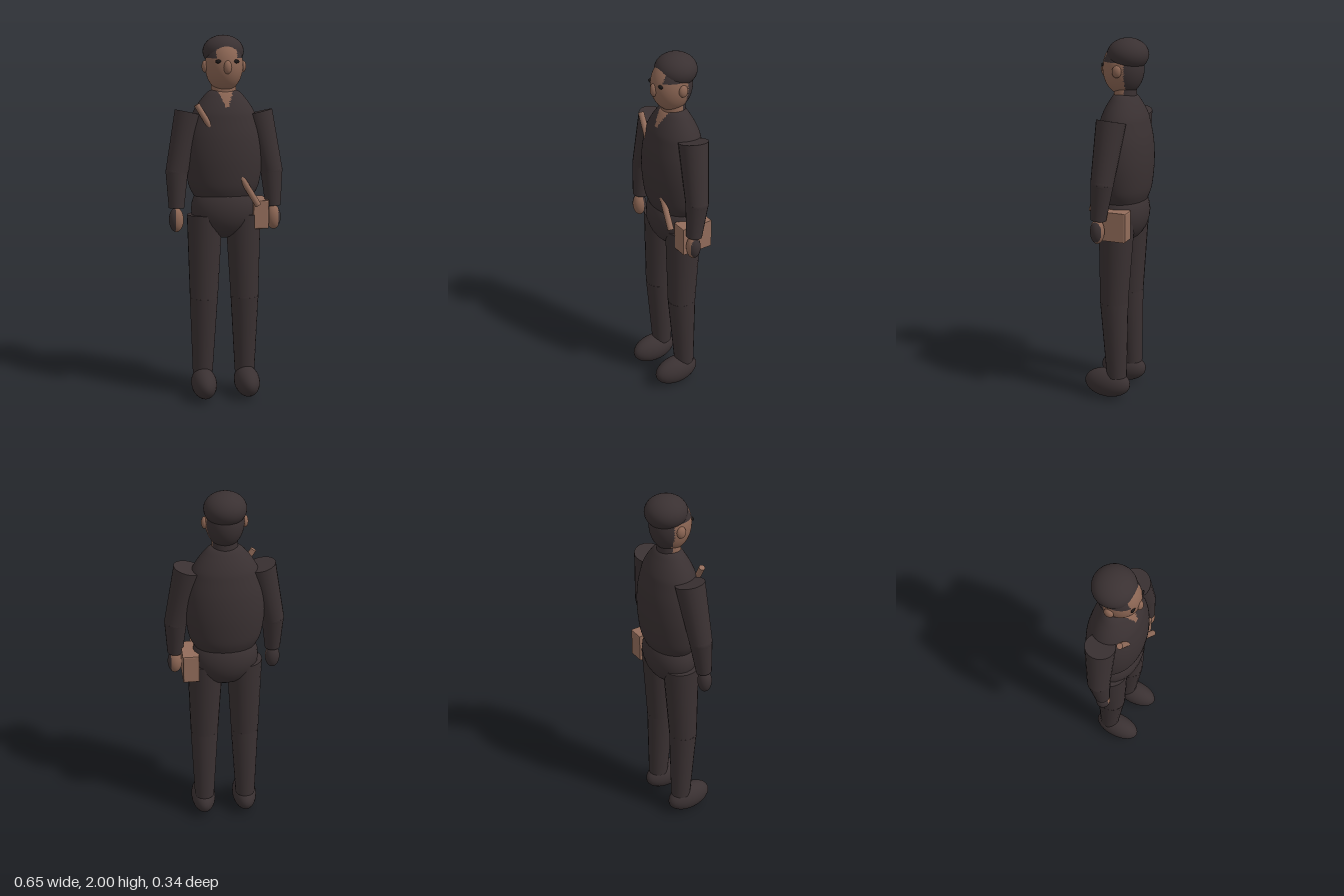
import * as THREE from 'three';

const mat = (name, color) => {
  const m = new THREE.MeshStandardMaterial({ color });
  m.name = name;
  return m;
};

export function createModel() {
  const group = new THREE.Group();
  const cloth = mat('dark cloth', 0x3a3132);
  const skin = mat('skin', 0x8c6654);
  const leather = mat('brown leather', 0x936d5b);
  const black = mat('eye black', 0x1c1818);

  const add = (name, geo, material) => {
    const m = new THREE.Mesh(geo, material);
    m.name = name;
    group.add(m);
    return m;
  };

  // Ellipsoid with centre and radii baked in
  const ball = (c, r, w = 24, h = 16) =>
    new THREE.SphereGeometry(1, w, h).scale(...r).translate(...c);

  // Splits the faces in two material groups by a test on the face centre
  const twoTone = (geo, test) => {
    const p = geo.attributes.position, ix = geo.index.array, sets = [[], []];
    const c = new THREE.Vector3(), v = new THREE.Vector3();
    for (let i = 0; i < ix.length; i += 3) {
      c.set(0, 0, 0);
      for (let k = 0; k < 3; k++) c.add(v.fromBufferAttribute(p, ix[i + k]));
      c.divideScalar(3);
      sets[test(c) ? 1 : 0].push(ix[i], ix[i + 1], ix[i + 2]);
    }
    geo.setIndex([...sets[0], ...sets[1]]);
    geo.clearGroups();
    geo.addGroup(0, sets[0].length, 0);
    geo.addGroup(sets[0].length, sets[1].length, 1);
    return geo;
  };

  // Tapered cylinder from point a to point b
  const limb = (name, a, b, ra, rb, material, sides = 20) => {
    const A = new THREE.Vector3(...a), B = new THREE.Vector3(...b);
    const dir = B.clone().sub(A);
    const geo = new THREE.CylinderGeometry(rb, ra, dir.length(), sides);
    const m = add(name, geo, material);
    m.position.copy(A).add(B).multiplyScalar(0.5);
    m.quaternion.setFromUnitVectors(new THREE.Vector3(0, 1, 0), dir.normalize());
  };

  // Torso: barrel-shaped lathe, flattened front to back, with an open collar
  const profile = new THREE.SplineCurve([
    [0.165, 1.135], [0.195, 1.2], [0.212, 1.33], [0.206, 1.45], [0.182, 1.55],
    [0.163, 1.6], [0.122, 1.66], [0.075, 1.705], [0.001, 1.72],
  ].map(([x, y]) => new THREE.Vector2(x, y))).getPoints(48);
  const torso = new THREE.LatheGeometry(profile, 72).scale(1, 1, 0.705).translate(0, 0, -0.022);
  add('torso', twoTone(torso, c =>
    c.z > 0 && c.y > 1.62 && Math.abs(c.x) < 0.008 + (c.y - 1.62) * 0.4), [cloth, skin]);
  add('pelvis', ball([0, 1.065, -0.02], [0.182, 0.167, 0.132]), cloth);

  // Neck
  const neck = new THREE.CylinderGeometry(0.066, 0.07, 0.12, 32).scale(1, 1, 0.88).translate(0, 1.72, -0.022);
  add('neck', twoTone(neck, c => c.z > -0.04), [cloth, skin]);

  // Head: skin in front, dark hair behind and at the temples
  const head = ball([0, 1.84, -0.012], [0.102, 0.142, 0.112], 64, 48);
  add('head', twoTone(head, c =>
    c.z > -0.048 && !(c.y > 1.875 && Math.abs(c.x) > 0.056)), [cloth, skin]);
  add('cap', ball([0, 1.913, -0.037], [0.111, 0.087, 0.111], 32, 20), cloth);
  add('nose', ball([0, 1.83, 0.095], [0.022, 0.036, 0.02], 16, 12), skin);

  for (const s of [1, -1]) {
    const side = s > 0 ? 'left' : 'right';
    // Face details
    add(side + 'Ear', ball([s * 0.104, 1.833, -0.015], [0.017, 0.032, 0.026], 16, 12), skin);
    add(side + 'Eye', ball([s * 0.046, 1.86, 0.085], [0.019, 0.01, 0.008], 16, 8), black);

    // Arm
    const elbow = [s * 0.262, 1.27, 0.002];
    limb(side + 'UpperArm', [s * 0.19, 1.587, -0.02], elbow, 0.079, 0.061, cloth);
    add(side + 'Elbow', ball(elbow, [0.061, 0.061, 0.061]), cloth);
    limb(side + 'Forearm', elbow, [s * 0.268, 1.075, 0.022], 0.061, 0.042, cloth);
    const gloveEdge = s > 0 ? 0.022 : 0.006;
    const hand = ball([s * 0.27, 1.012, 0.027], [0.04, 0.067, 0.038], 32, 20);
    add(side + 'Hand', twoTone(hand, c =>
      s * c.x - 0.27 < gloveEdge && (s > 0 || c.z > 0.02)), [cloth, skin]);

    // Leg
    const knee = [s * 0.115, 0.57, -0.004];
    limb(side + 'Thigh', [s * 0.107, 1.03, -0.016], knee, 0.098, 0.078, cloth);
    add(side + 'Knee', ball(knee, [0.077, 0.077, 0.077]), cloth);
    limb(side + 'Shin', knee, [s * 0.12, 0.13, -0.021], 0.078, 0.056, cloth);
    add(side + 'Shoe', ball([s * 0.122, 0.083, 0.035], [0.07, 0.083, 0.135]), cloth);
  }

  // Shoulder strap, mostly sunk into the torso, and the hip pouch
  limb('strap', [-0.163, 1.635, 0.073], [0.168, 1.09, 0.103], 0.016, 0.017, leather, 16);
  const r = 0.008, w = 0.088, h = 0.158;
  const outline = new THREE.Shape([
    [-w / 2 + r, -h / 2 + r], [w / 2 - r, -h / 2 + r], [w / 2 - r, h / 2 - r], [-w / 2 + r, h / 2 - r],
  ].map(([x, y]) => new THREE.Vector2(x, y)));
  const pouch = new THREE.ExtrudeGeometry(outline, {
    depth: 0.17, bevelEnabled: true, bevelSize: r, bevelThickness: r, bevelSegments: 2,
  });
  add('pouch', pouch.translate(0.192, 1.032, -0.109), leather);

  return group;
}
